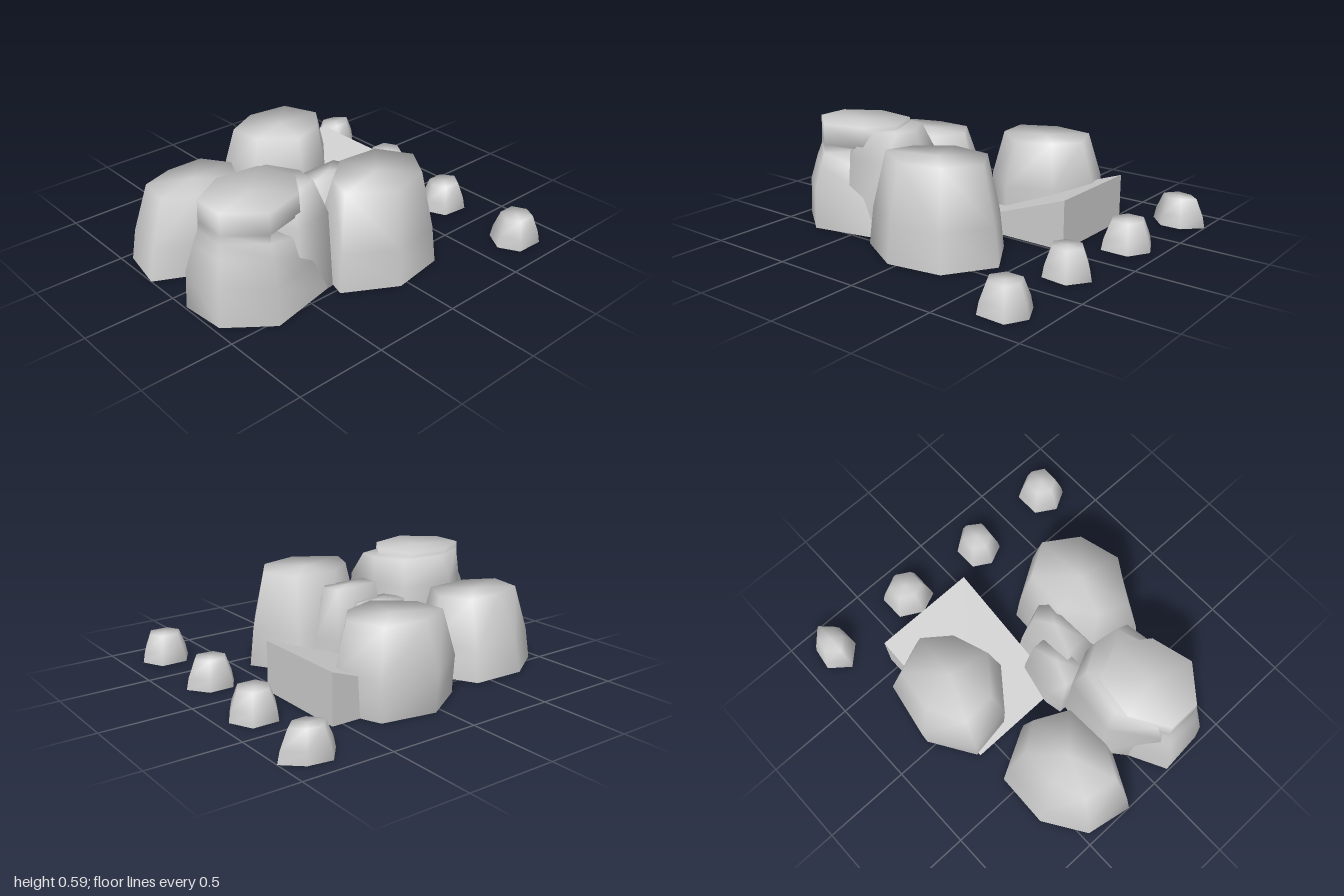
import * as THREE from 'three';

const grey = new THREE.MeshStandardMaterial({ color: 0xcccccc });

// Rock lofted from a base outline to a top outline (x, z in hundredths).
// profile: [height fraction, blend from base to top, optional dent {corner: [dx, dz]}]
function rock(name, height, base, top, profile = [[0, 0], [0.4, 0.25], [1, 1]]) {
  const n = base.length;
  const pos = [], index = [];
  const mean = (pts, k) => pts.reduce((s, p) => s + p[k], 0) / n;
  const area = base.reduce((s, p, i) => {
    const q = base[(i + 1) % n];
    return s + p[0] * q[1] - q[0] * p[1];
  }, 0);
  const tri = (a, b, c) => index.push(...(area > 0 ? [a, b, c] : [a, c, b]));

  for (const [t, f, dent = {}] of profile) {
    base.forEach((p, i) => {
      const d = dent[i] || [0, 0];
      pos.push((p[0] + (top[i][0] - p[0]) * f + d[0]) / 100, t * height,
        (p[1] + (top[i][1] - p[1]) * f + d[1]) / 100);
    });
  }
  const last = (profile.length - 1) * n;
  for (let r = 0; r < last; r += n) {
    for (let i = 0; i < n; i++) {
      const j = (i + 1) % n;
      tri(r + i, r + n + i, r + j);
      tri(r + j, r + n + i, r + n + j);
    }
  }
  // soft-shaded cap on top
  const cap = pos.length / 3;
  pos.push(mean(top, 0) / 100, height, mean(top, 1) / 100);
  for (let i = 0; i < n; i++) tri(last + i, cap, last + (i + 1) % n);
  // flat underside with its own corners
  const under = pos.length / 3;
  pos.push(...pos.slice(0, n * 3), mean(base, 0) / 100, 0, mean(base, 1) / 100);
  for (let i = 0; i < n; i++) tri(under + i, under + (i + 1) % n, under + n);

  const geo = new THREE.BufferGeometry();
  geo.setAttribute('position', new THREE.Float32BufferAttribute(pos, 3));
  geo.setIndex(index);
  geo.computeVertexNormals();
  const mesh = new THREE.Mesh(geo, grey);
  mesh.name = name;
  return mesh;
}

// Same outline shrunk about its own middle
function shrink(pts, s) {
  const c = [0, 1].map(k => pts.reduce((a, p) => a + p[k], 0) / pts.length);
  return pts.map(p => p.map((v, k) => c[k] + (v - c[k]) * s));
}

export function createModel() {
  const model = new THREE.Group();
  model.name = 'rockGroup';

  model.add(rock('backBoulder', 0.435,
    [[-72, -61], [-41, -60], [-27, -34], [-40, -9], [-76, -8], [-100, -20], [-95, -46]],
    [[-67, -48], [-46, -48], [-36, -33], [-45, -15], [-71, -14], [-88, -23], [-85, -42]]));

  model.add(rock('rampBoulder', 0.47,
    [[4, -79], [36, -73], [46, -48], [30, -30], [4, -20], [-18, -37], [-22, -62]],
    [[6, -70], [30, -67], [38, -47], [27, -33], [7, -26], [-12, -41], [-14, -60]],
    [[0, 0.2], [0.45, 0.05], [1, 1]]));

  model.add(rock('frontBoulder', 0.525,
    [[-5, 69], [26, 64], [43, 38], [27, 12], [3, 11], [-24, 21], [-33, 53]],
    [[-2, 62], [21, 56], [33, 38], [22, 20], [-2, 18], [-19, 31], [-25, 47]]));

  // Tall boulder with a notch worn into its front corner
  model.add(rock('tallBoulder', 0.59,
    [[-74, 54], [-33, 45], [-27, 20], [-40, 0], [-68, -5], [-99, 11], [-97, 36]],
    [[-72, 46], [-49, 40], [-38, 24], [-46, 4], [-70, 1], [-90, 13], [-90, 31]],
    [[0, 0], [0.36, 0.1, { 1: [-5, -1] }], [0.6, 0.6, { 1: [-3, -1] }],
      [0.72, 0.92, { 1: [-12, -9] }], [0.8, 0.96], [1, 1]]));

  model.add(rock('tallBoulderLedge', 0.565,
    [[-66, -10], [-34, -6], [-26, 13], [-31, 45], [-55, 48], [-90, 10]],
    [[-64, -2], [-39, 2], [-30, 18], [-32, 31], [-50, 36], [-85, 8]],
    [[0, 0], [0.75, 0.25], [1, 1]]));

  // Two stepped stones between the boulders
  model.add(rock('upperStepStone', 0.455,
    [[-25, 2], [10, -2], [16, 13], [10, 30], [-25, 30]],
    [[-22, 6], [5, 5], [9, 13], [5, 18], [-22, 18]]));
  model.add(rock('lowerStepStone', 0.37,
    [[-34, -10], [-24, -12], [-2, -9], [0, 6], [-10, 15], [-34, 12]],
    [[-33, -6], [-25, -7], [-5, -4], [-5, 3], [-12, 8], [-33, 8]]));

  // Wedge ramp rising to the left
  const side = new THREE.Shape([[-0.22, 0], [0.56, 0], [0.56, 0.28]].map(p => new THREE.Vector2(...p)));
  const ramp = new THREE.Mesh(
    new THREE.ExtrudeGeometry(side, { depth: 0.59, bevelEnabled: false }), grey);
  ramp.position.z = -0.605;
  ramp.name = 'ramp';
  model.add(ramp);

  // Row of pebbles
  const pebbles = [
    [[77, -91], [90, -89], [100, -80], [90, -70], [78, -69.5], [68, -80]],
    [[73, -39.5], [88, -39.5], [94, -27], [87, -15], [71, -15], [66, -27]],
    [[68, 14], [82, 14], [90, 25], [82, 36.5], [67, 35], [62, 24]],
    [[69, 66.5], [84, 66.5], [90, 78.5], [84, 89.5], [68, 89], [62, 78]],
  ];
  pebbles.forEach((p, i) => model.add(rock('pebble' + (i + 1), 0.16, p, shrink(p, 0.64))));

  return model;
}
